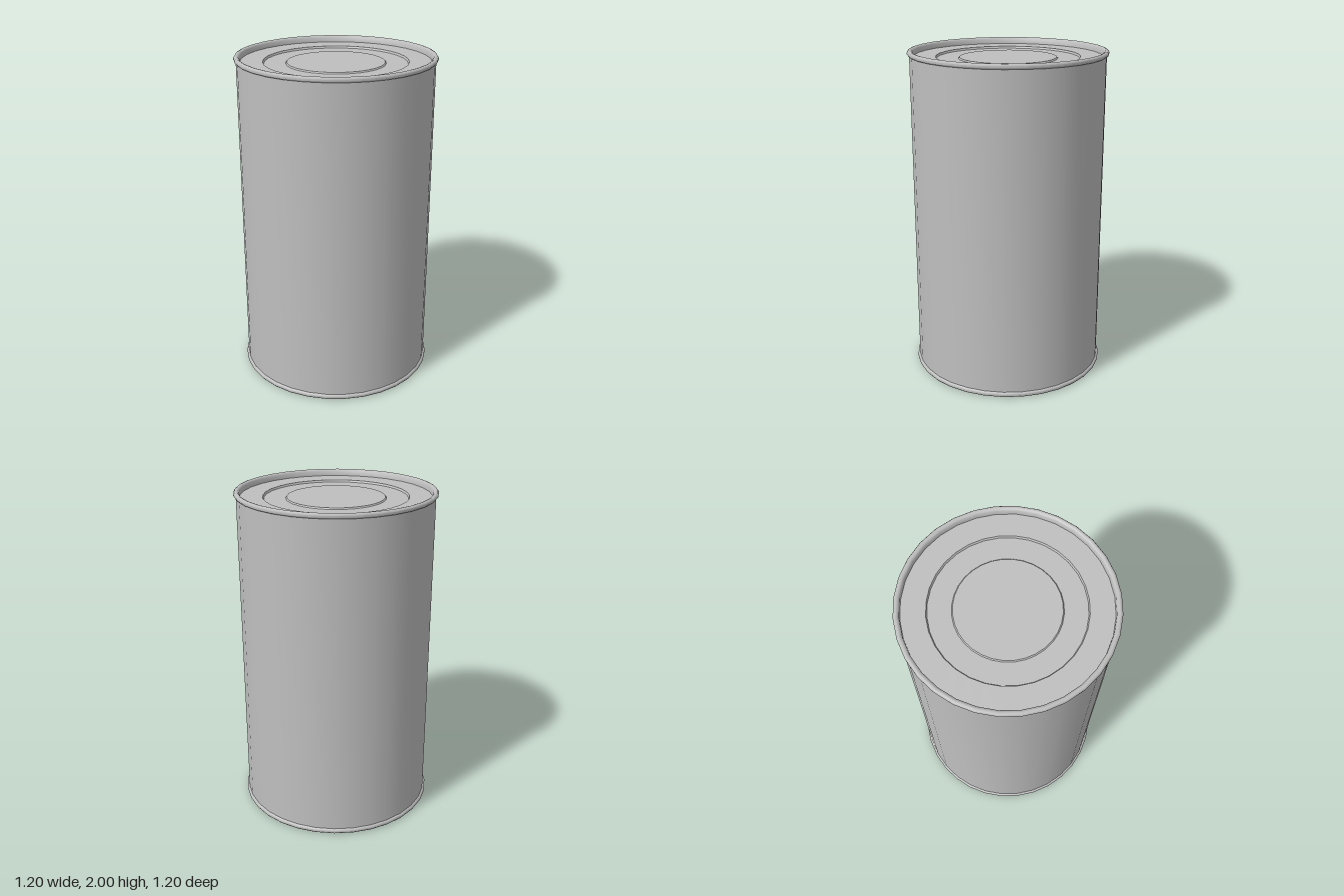
import * as THREE from 'three';
import { toCreasedNormals } from 'three/addons/utils/BufferGeometryUtils.js';

const SEGMENTS = 32;

// Revolve [radius, height] pairs; outward faces follow a rising profile
function turned(name, profile, material) {
  const points = profile.map(([r, y]) => new THREE.Vector2(r, y));
  const geometry = toCreasedNormals(new THREE.LatheGeometry(points, SEGMENTS), 0.8);
  const mesh = new THREE.Mesh(geometry, material);
  mesh.name = name;
  return mesh;
}

export function createModel() {
  const can = new THREE.Group();
  can.name = 'tinCan';
  const tin = new THREE.MeshStandardMaterial({ color: 0xbfbfbf });
  tin.name = 'tin';

  // Straight wall
  can.add(turned('wall', [[0.585, 0.015], [0.585, 1.985]], tin));

  // One end, measured from the middle of the can: rolled rim and sunken lid
  for (const side of ['top', 'bottom']) {
    const end = new THREE.Group();
    end.name = side + 'End';
    end.add(turned(side + 'Rim', [
      [0.583, 0.968], [0.592, 0.972], [0.598, 0.980], [0.598, 0.988], [0.592, 0.997],
      [0.583, 1.0], [0.573, 0.997], [0.566, 0.988], [0.564, 0.958],
    ], tin));
    end.add(turned(side + 'Lid', [
      [0.566, 0.960], [0.43, 0.960], [0.424, 0.948],
      [0.296, 0.948], [0.290, 0.956], [0, 0.956],
    ], tin));
    end.position.y = 1;
    if (side === 'bottom') end.rotation.x = Math.PI;
    can.add(end);
  }
  return can;
}
